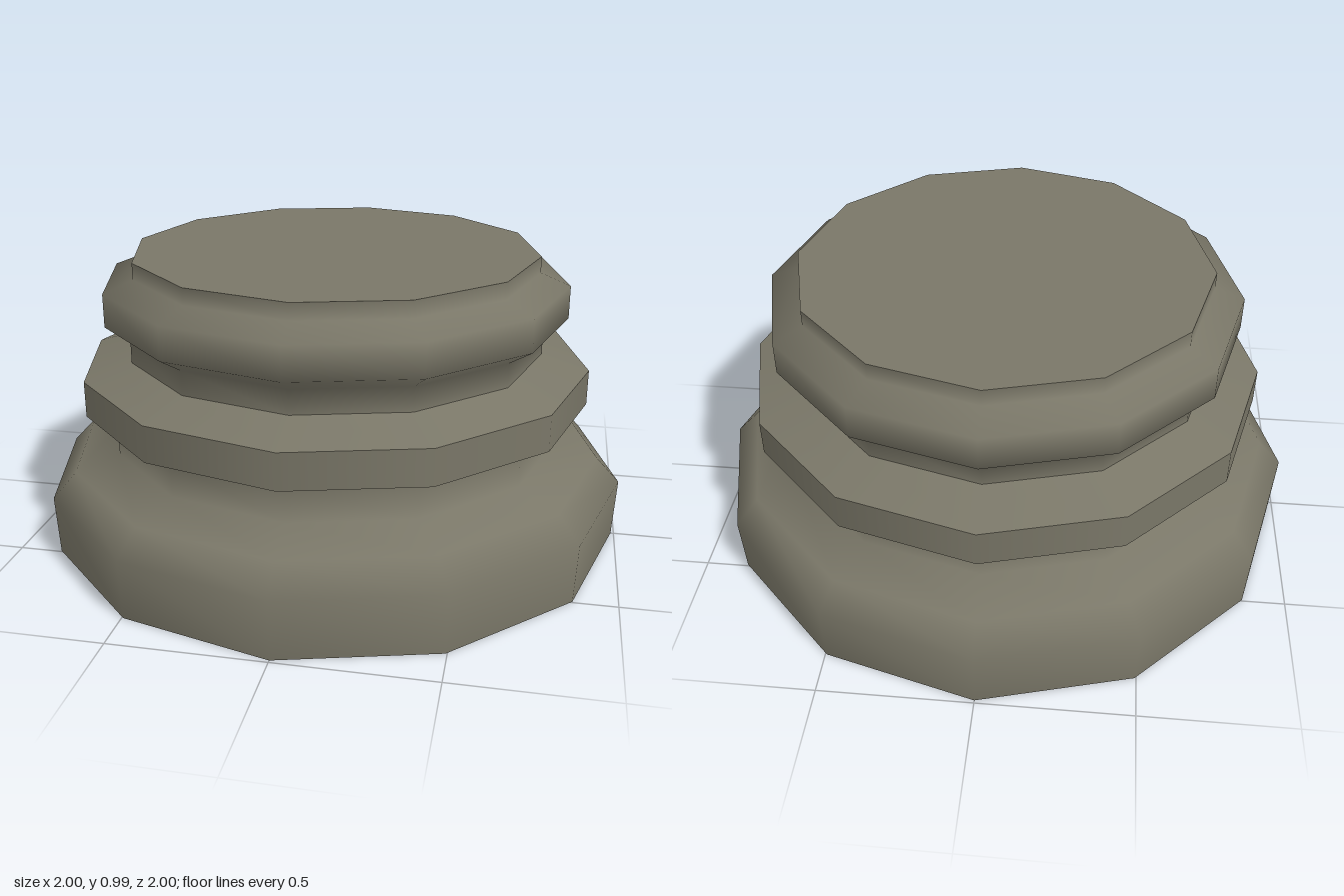
import * as THREE from 'three';

const SIDES = 12;

export function createModel() {
  const group = new THREE.Group();
  const stone = new THREE.MeshStandardMaterial({ color: 0x7a7768 });
  stone.name = 'greyStone';

  function add(name, geometry) {
    const mesh = new THREE.Mesh(geometry, stone);
    mesh.name = name;
    group.add(mesh);
    return mesh;
  }

  // Turned section: smooth inside, sharp where it meets the next section
  const turned = (name, profile) => add(name,
    new THREE.LatheGeometry(profile.map(([r, y]) => new THREE.Vector2(r, y)), SIDES));

  // Twelve-sided end face
  function disc(name, radius, y, up) {
    const mesh = add(name, new THREE.CircleGeometry(radius, SIDES));
    mesh.rotation.x = up ? -Math.PI / 2 : Math.PI / 2;
    mesh.position.y = y;
  }

  // Broad foot with rounded shoulder and lower neck
  disc('underside', 0.99, 0, false);
  turned('foot', [[0.99, 0], [1, 0.2], [0.92, 0.285], [0.77, 0.33], [0.77, 0.45]]);

  // Sharp-edged middle ring
  turned('ringUnderside', [[0.77, 0.45], [0.87, 0.48]]);
  turned('ringBand', [[0.87, 0.48], [0.87, 0.6]]);
  turned('ringTop', [[0.87, 0.6], [0.71, 0.65]]);

  // Upper neck with rounded bead and collar
  turned('upperBead', [[0.71, 0.65], [0.71, 0.73], [0.79, 0.78], [0.79, 0.89], [0.69, 0.93], [0.69, 0.985]]);
  disc('topFace', 0.69, 0.985, true);

  return group;
}
